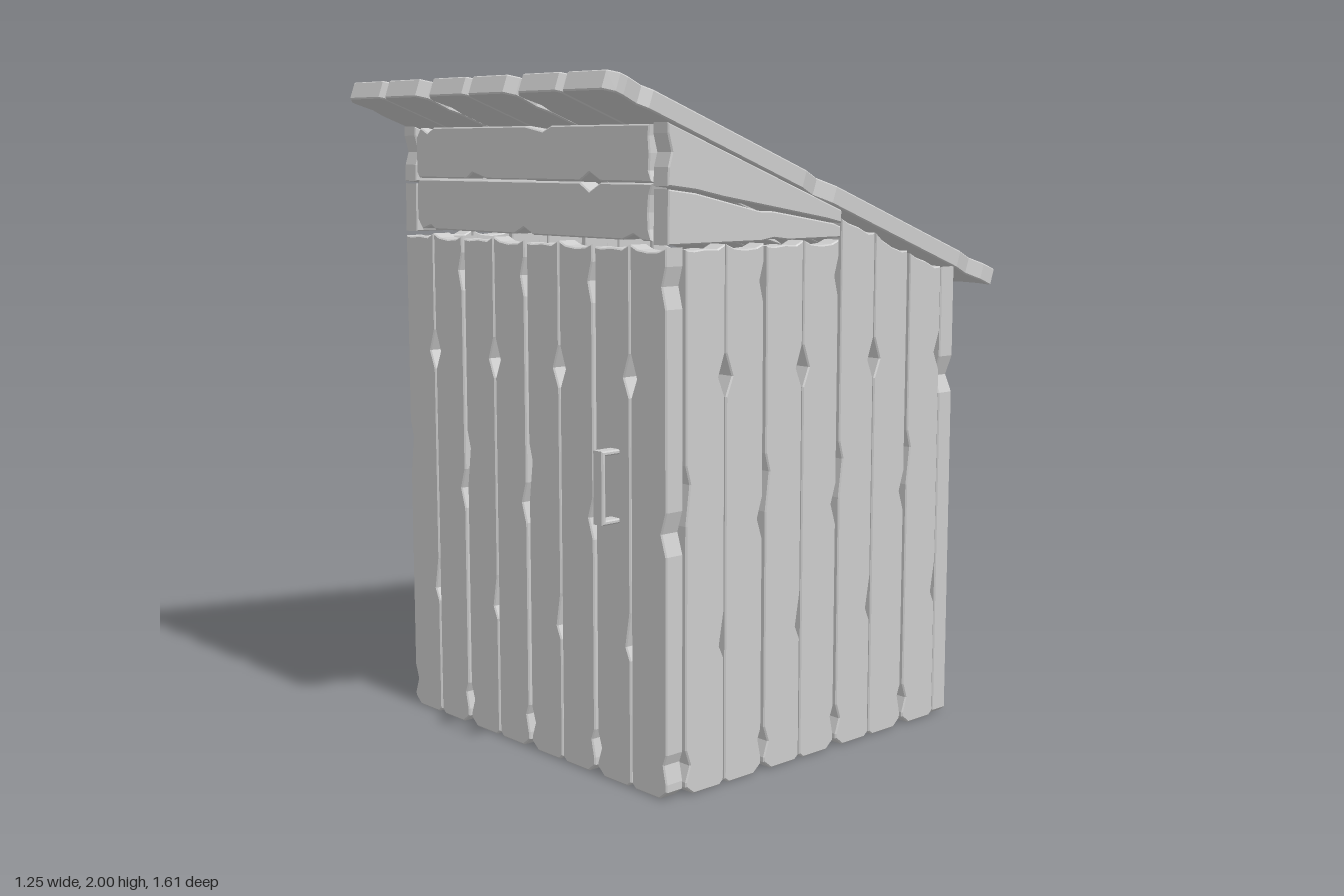
import * as THREE from 'three';

const material = new THREE.MeshStandardMaterial({ color: 0xcccccc, flatShading: true });
const THICK = 0.063, BEVEL = 0.004;

// Chips along a plank edge: [start, apex, end, depth]; lengths as fractions of the plank
const CHIPS = {
  outerLeft: [[0.025, 0.055, 0.085, 0.016], [0.5, 0.575, 0.61, 0.015]],
  innerRight: [[0.24, 0.265, 0.33, 0.018], [0.725, 0.762, 0.805, 0.024]],
  innerLeft: [[0.725, 0.762, 0.805, 0.024]],
  outerRight: [[0.03, 0.065, 0.085, 0.012], [0.45, 0.49, 0.53, 0.02], [0.89, 0.93, 0.965, 0.016]],
};

function extrude(shape, thick) {
  const geometry = new THREE.ExtrudeGeometry(shape, {
    depth: thick - 2 * BEVEL, bevelEnabled: true, bevelSegments: 1,
    bevelThickness: BEVEL, bevelSize: BEVEL, bevelOffset: -BEVEL,
  });
  return geometry.translate(0, 0, BEVEL);
}

function addMesh(parent, name, geometry) {
  const mesh = new THREE.Mesh(geometry, material);
  mesh.name = name;
  parent.add(mesh);
  return mesh;
}

// Upright chipped board from x0 to x0 + width; odd boards carry the other chip pattern.
// topLeft / topRight let the top follow the roof slope.
function plank(x0, width, length, thick, odd, topLeft = length, topRight = length) {
  const left = x0 + (odd ? 0.002 : 0.006);
  const right = x0 + width - (odd ? 0.006 : 0.002);
  const cutL = odd ? 0.016 : 0.03, cutR = odd ? 0.03 : 0.016;
  const points = [[left + cutL, 0], [right - cutR, 0], [right, cutR * 0.8]];
  for (const [a, m, b, d] of CHIPS[odd ? 'outerRight' : 'innerRight']) {
    if (b * length > topRight - 0.02) continue;
    points.push([right, a * length], [right - d, m * length], [right, b * length]);
  }
  // Ragged top end
  const ragged = odd ? [0.003, 0.014, 0.017, 0.012, 0] : [0, 0.013, 0.01, 0.014, 0.011];
  ragged.forEach((drop, i) => {
    const t = [0, 0.2, 0.5, 0.8, 1][i];
    points.push([right + (left - right) * t, topRight + (topLeft - topRight) * t - drop]);
  });
  for (const [a, m, b, d] of [...CHIPS[odd ? 'innerLeft' : 'outerLeft']].reverse()) {
    if (b * length > topLeft - 0.02) continue;
    points.push([left, b * length], [left + d, m * length], [left, a * length]);
  }
  points.push([left, cutL * 0.8]);
  return extrude(new THREE.Shape(points.map(p => new THREE.Vector2(...p))), thick);
}

// Row of boards side by side, centred on x = 0
function plankRow(name, count, width, length, thick, startOdd = 0, topAt = () => length) {
  const row = new THREE.Group();
  row.name = name;
  const pitch = width / count;
  for (let i = 0; i < count; i++) {
    const x0 = -width / 2 + i * pitch;
    addMesh(row, name + 'Plank', plank(x0, pitch, length, thick, (i + startOdd) % 2 === 1,
      topAt(i, x0), topAt(i, x0 + pitch)));
  }
  return row;
}

export function createModel() {
  const model = new THREE.Group();
  model.name = 'shed';
  const H = 1.54;

  // Front and back walls
  const front = plankRow('frontWall', 8, 1.236, H, THICK);
  front.position.z = 0.542;
  const back = plankRow('backWall', 8, 1.236, 1.437, THICK, 1);
  back.position.z = -0.545;
  back.rotation.y = Math.PI;
  model.add(front, back);

  // Side walls: four level boards, then three cut to the roof slope, and gable boards above
  const slopeAt = z => 1.645 + 0.364 * z;
  const gableBoards = {
    lowerGableBoard: [[-0.602, 1.543], [-0.25, 1.543], [-0.2, 1.55], [-0.14, 1.543], [0.078, 1.543],
      [0.078, 1.575], [0.05, 1.585], [-0.2, 1.625], [-0.26, 1.628], [-0.5, 1.68], [-0.6, 1.692]],
    upperGableBoard: [[-0.602, 1.7], [-0.5, 1.688], [-0.4, 1.668], [0.02, 1.598], [0.082, 1.585],
      [0.082, 1.622], [-0.602, 1.868], [-0.602, 1.84], [-0.588, 1.79], [-0.6, 1.75]],
  };
  for (const x of [0.618 - THICK, -0.618]) {
    const side = new THREE.Group();
    side.name = x > 0 ? 'leftSide' : 'rightSide';
    side.add(plankRow('sideWall', 7, 1.085, H, THICK, 0,
      (i, px) => (i < 4 ? H : slopeAt(-px) - 0.008)));
    for (const [name, pts] of Object.entries(gableBoards)) {
      addMesh(side, name, extrude(new THREE.Shape(pts.map(p => new THREE.Vector2(...p))), THICK));
    }
    side.rotation.y = Math.PI / 2;
    side.position.x = x;
    model.add(side);
  }

  // Two horizontal boards above the front wall, between the gable boards
  for (let i = 0; i < 2; i++) {
    const board = addMesh(model, 'frontHeaderBoard', plank(-0.081, 0.162, 1.104, THICK, i === 0));
    board.rotation.z = -Math.PI / 2;
    board.position.set(-0.552, 1.627 + i * 0.162, 0.538);
  }

  // Sloping roof
  const roof = plankRow('roof', 6, 1.258, 1.7, 0.055);
  roof.rotation.x = -THREE.MathUtils.degToRad(110);
  roof.position.set(-0.002, 1.949, 0.81);
  model.add(roof);

  // Door handle: a square bracket
  const bracket = [[0, 0], [0.067, 0], [0.067, 0.21], [0, 0.21], [0, 0.196],
    [0.053, 0.196], [0.053, 0.014], [0, 0.014]];
  const handle = addMesh(model, 'doorHandle',
    extrude(new THREE.Shape(bracket.map(p => new THREE.Vector2(...p))), 0.042));
  handle.rotation.y = -Math.PI / 2;
  handle.position.set(0.419, 0.76, 0.602);

  return model;
}
